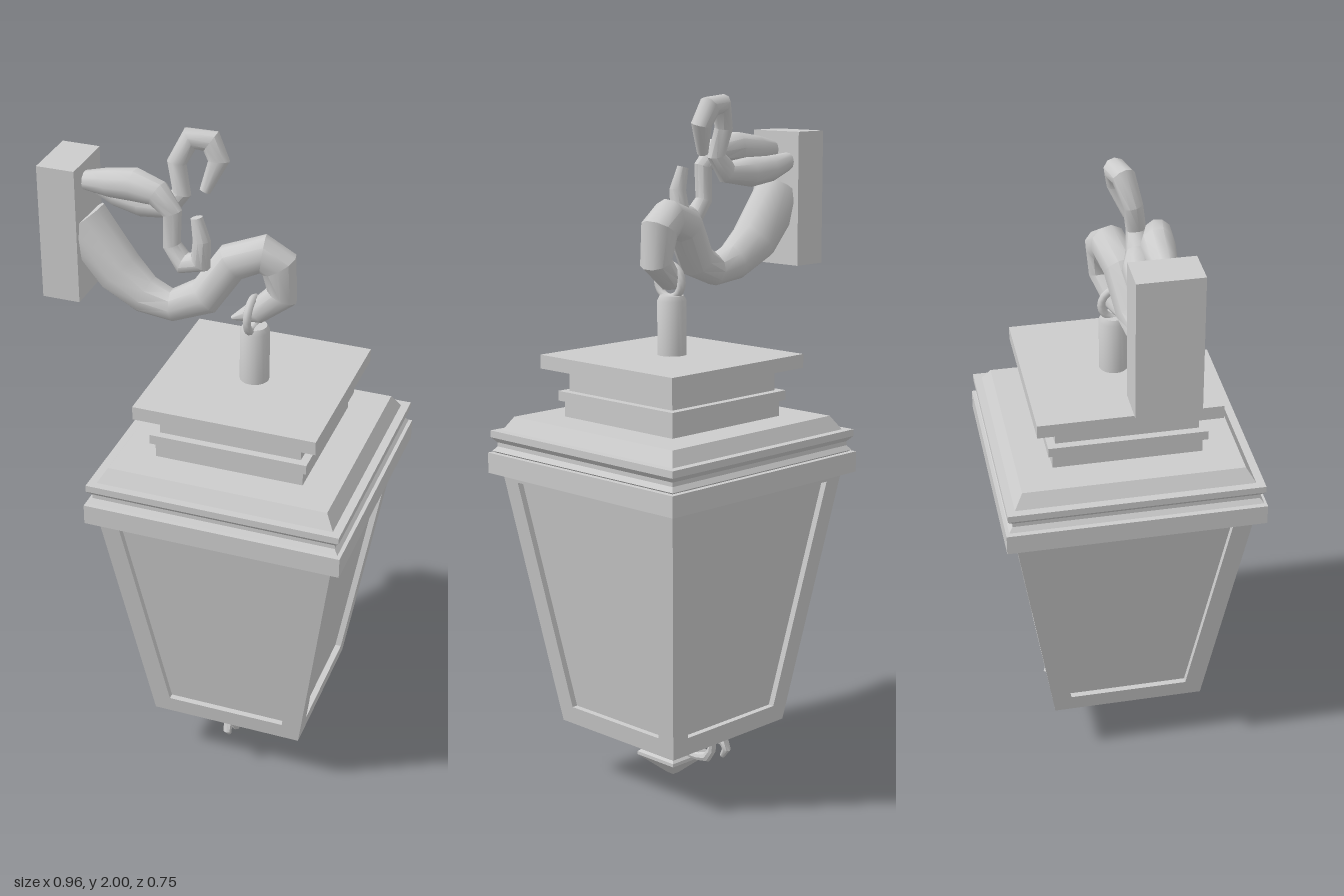
import * as THREE from 'three';
import { toCreasedNormals } from 'three/addons/utils/BufferGeometryUtils.js';

const LANTERN_X = 0.105;
const flat = new THREE.MeshStandardMaterial({ color: 0xcccccc, flatShading: true });
const smooth = new THREE.MeshStandardMaterial({ color: 0xcccccc });

function add(parent, name, geometry, material, x = 0, y = 0, z = 0) {
  const mesh = new THREE.Mesh(geometry, material);
  mesh.name = name;
  mesh.position.set(x, y, z);
  parent.add(mesh);
  return mesh;
}

// Square moulding from a bottom-to-top profile of [half width, y]
function squareProfile(profile) {
  const pts = profile.map(([h, y]) => new THREE.Vector2(h * Math.SQRT2, y));
  return new THREE.LatheGeometry(pts, 4, Math.PI / 4);
}

// Closed square slab with straight sides
const slab = (half, y0, y1) => squareProfile([[0, y0], [half, y0], [half, y1], [0, y1]]);

// Tapering tube through points of [x, y, z, radius], with closed ends
function taperedTube(path, sides = 10) {
  const pts = path.map(p => new THREE.Vector3(p[0], p[1], p[2]));
  const last = pts.length - 1;
  const positions = [], index = [];
  const normal = new THREE.Vector3(0, 0, 1);
  const ring = (centre, n, b, r) => {
    for (let j = 0; j < sides; j++) {
      const a = (j / sides) * Math.PI * 2;
      const p = centre.clone().addScaledVector(n, Math.cos(a) * r).addScaledVector(b, Math.sin(a) * r);
      positions.push(p.x, p.y, p.z);
    }
  };
  pts.forEach((p, i) => {
    const t = new THREE.Vector3();
    if (i > 0) t.add(p.clone().sub(pts[i - 1]).normalize());
    if (i < last) t.add(pts[i + 1].clone().sub(p).normalize());
    t.normalize();
    normal.addScaledVector(t, -normal.dot(t)).normalize();
    const b = t.clone().cross(normal);
    if (i === 0) ring(p, normal, b, 0);
    ring(p, normal, b, path[i][3]);
    if (i === last) ring(p, normal, b, 0);
  });
  for (let i = 0; i < last + 2; i++) {
    for (let j = 0; j < sides; j++) {
      const a = i * sides + j, b = i * sides + (j + 1) % sides;
      index.push(a, b, a + sides, b, b + sides, a + sides);
    }
  }
  const g = new THREE.BufferGeometry();
  g.setAttribute('position', new THREE.Float32BufferAttribute(positions, 3));
  g.setIndex(index);
  return toCreasedNormals(g, 0.7);
}

// One sloping side of the lantern: frame, recess walls and sunken panel
function lanternSide() {
  const y0 = 0.17, y1 = 0.925;
  const face = y => 0.23 + 0.115 * (y - y0) / (y1 - y0);
  const loop = (bottom, yb, top, yt, depth) =>
    [[-bottom, yb], [bottom, yb], [top, yt], [-top, yt]].map(([x, y]) => [x, y, face(y) - depth]);
  const loops = [
    loop(0.23, y0, 0.345, y1, 0),
    loop(0.18, 0.225, 0.285, 0.905, 0),
    loop(0.18, 0.225, 0.285, 0.905, 0.018),
  ];
  const positions = [];
  const quad = (a, b, c, d) => positions.push(...a, ...b, ...c, ...a, ...c, ...d);
  for (let k = 0; k < 2; k++) {
    for (let i = 0; i < 4; i++) {
      const j = (i + 1) % 4;
      quad(loops[k][i], loops[k][j], loops[k + 1][j], loops[k + 1][i]);
    }
  }
  quad(...loops[2]);
  const g = new THREE.BufferGeometry();
  g.setAttribute('position', new THREE.Float32BufferAttribute(positions, 3));
  g.computeVertexNormals();
  return g;
}

export function createModel() {
  const model = new THREE.Group();
  model.name = 'wallLantern';

  // Wall mount and scrolled bracket
  const bracket = new THREE.Group();
  bracket.name = 'bracket';
  model.add(bracket);
  add(bracket, 'wallPlate', new THREE.BoxGeometry(0.11, 0.395, 0.178), flat, -0.425, 1.683, 0.034);
  add(bracket, 'mainArm', taperedTube([
    [-0.39, 1.70, 0.035, 0.075], [-0.28, 1.56, 0.04, 0.07], [-0.20, 1.505, 0.048, 0.056],
    [-0.12, 1.487, 0.05, 0.046], [-0.03, 1.525, 0.035, 0.054], [0.04, 1.63, 0.012, 0.054],
    [0.123, 1.66, -0.008, 0.054], [0.168, 1.63, -0.015, 0.054], [0.178, 1.54, -0.012, 0.046],
    [0.11, 1.485, 0.005, 0.034], [0.042, 1.458, 0.015, 0.006],
  ]), smooth);
  add(bracket, 'lowerScroll', taperedTube([
    [-0.38, 1.825, 0.05, 0.025], [-0.30, 1.83, 0.05, 0.04], [-0.22, 1.838, 0.055, 0.046],
    [-0.15, 1.83, 0.07, 0.038], [-0.105, 1.785, 0.08, 0.028], [-0.108, 1.69, 0.08, 0.026],
    [-0.072, 1.643, 0.085, 0.032], [-0.02, 1.66, 0.092, 0.032],
    [-0.016, 1.725, 0.095, 0.025], [-0.032, 1.788, 0.09, 0.017],
  ]), smooth);
  add(bracket, 'upperScroll', taperedTube([
    [-0.38, 1.795, -0.012, 0.025], [-0.30, 1.775, -0.005, 0.038], [-0.22, 1.768, 0.005, 0.044],
    [-0.14, 1.772, 0.02, 0.034], [-0.10, 1.82, 0.022, 0.027], [-0.118, 1.90, 0.01, 0.027],
    [-0.085, 1.967, -0.008, 0.032], [-0.03, 1.962, -0.018, 0.033],
    [-0.005, 1.912, -0.01, 0.03], [-0.036, 1.83, 0.015, 0.016],
  ]), smooth);

  // Lantern hanging from the bracket
  const lantern = new THREE.Group();
  lantern.name = 'lantern';
  lantern.position.x = LANTERN_X;
  model.add(lantern);
  const ring = add(lantern, 'hangingRing', new THREE.TorusGeometry(0.047, 0.012, 8, 20), smooth, -0.004, 1.478, 0.012);
  ring.rotation.y = Math.PI / 2;
  const stem = [[0, 1.26], [0.042, 1.26], [0.042, 1.425], [0.034, 1.44], [0, 1.44]]
    .map(p => new THREE.Vector2(...p));
  add(lantern, 'stem', toCreasedNormals(new THREE.LatheGeometry(stem, 20), 0.6), smooth);

  // Stepped cap and roof
  add(lantern, 'capPlate', slab(0.265, 1.23, 1.27), flat);
  add(lantern, 'upperNeck', slab(0.207, 1.16, 1.235), flat);
  add(lantern, 'neckBand', slab(0.23, 1.137, 1.165), flat);
  add(lantern, 'lowerNeck', slab(0.217, 1.08, 1.14), flat);
  add(lantern, 'roof', squareProfile([
    [0, 0.98], [0.352, 0.98], [0.366, 0.99], [0.355, 1.003], [0.355, 1.015], [0.369, 1.03],
    [0.369, 1.05], [0.345, 1.05], [0.32, 1.09], [0, 1.09],
  ]), flat);
  add(lantern, 'topBand', slab(0.375, 0.925, 0.985), flat);

  // Tapering body
  const sideGeometry = lanternSide();
  for (let i = 0; i < 4; i++) {
    add(lantern, 'sidePanel', sideGeometry, flat).rotation.y = i * Math.PI / 2;
  }
  add(lantern, 'bodyFloor', squareProfile([[0, 0.17], [0.23, 0.17]]), flat);

  // Stepped base and pointed finial
  add(lantern, 'base', squareProfile([[0, 0.085], [0.082, 0.085], [0.122, 0.17]]), flat);
  add(lantern, 'finial', squareProfile([
    [0, 0], [0.012, 0.003], [0.075, 0.06], [0.075, 0.07], [0.055, 0.087], [0, 0.087],
  ]), flat);

  // Small scrolls curling out from the base
  for (const s of [1, -1]) {
    add(lantern, 'baseScroll', taperedTube([
      [0, 0.08, 0.05 * s, 0.009], [0, 0.082, 0.105 * s, 0.012], [0, 0.09, 0.14 * s, 0.015],
      [0, 0.115, 0.158 * s, 0.013], [0, 0.148, 0.163 * s, 0.011], [0, 0.16, 0.185 * s, 0.013],
      [0, 0.155, 0.21 * s, 0.014], [0, 0.135, 0.218 * s, 0.013], [0, 0.112, 0.202 * s, 0.008],
    ], 8), smooth);
  }
  return model;
}
